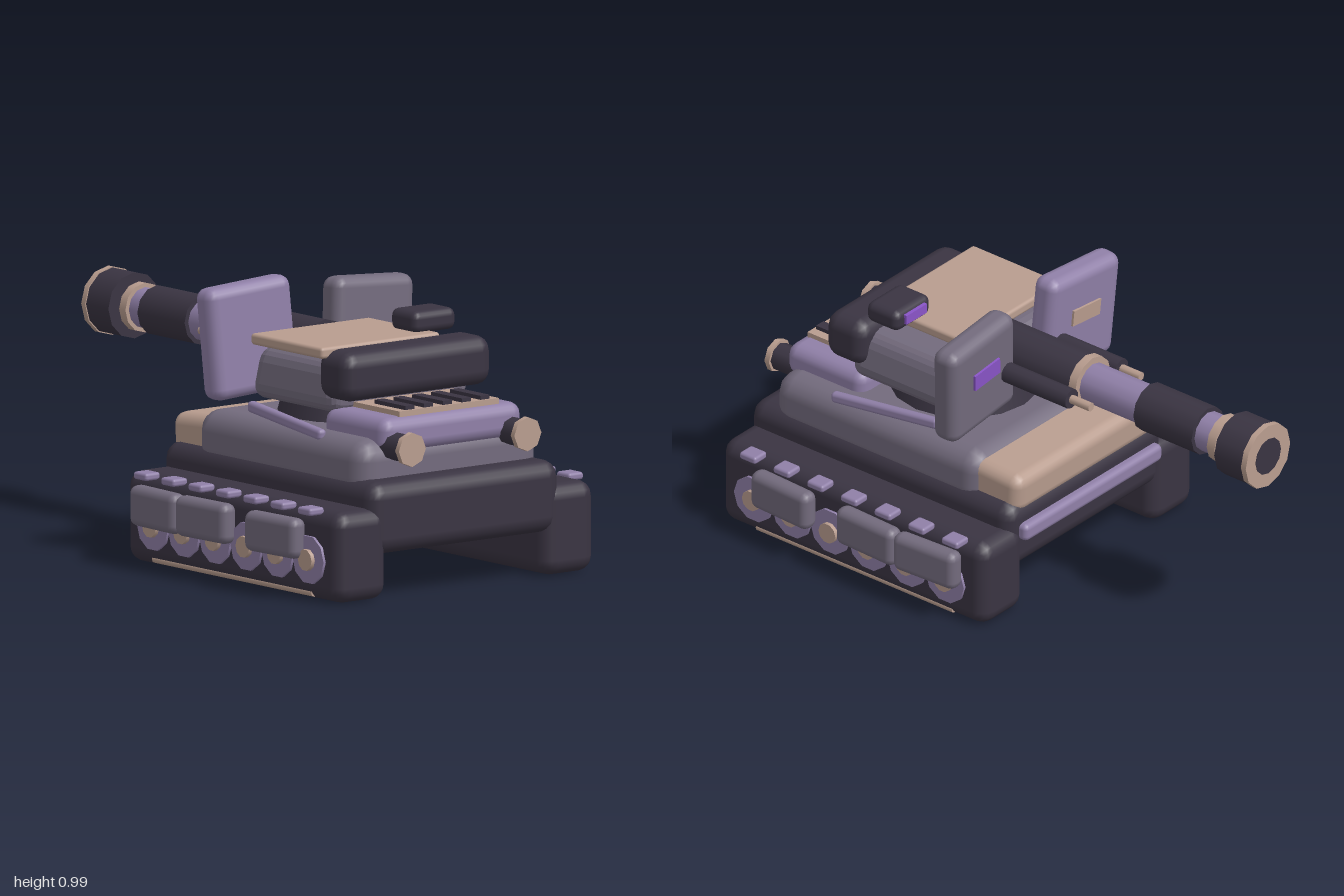
import * as THREE from 'three';
import { RoundedBoxGeometry } from 'three/addons/geometries/RoundedBoxGeometry.js';

const mat = (color) => new THREE.MeshStandardMaterial({ color });

export function createModel() {
  const root = new THREE.Group();
  root.name = 'tank';
  const dark = mat(0x3a3442), purple = mat(0x9080a8), grey = mat(0x736b7d);
  const tan = mat(0xb99d8f), glow = mat(0x8a55c8);

  const add = (name, geo, m, x, y, z, rx = 0, ry = 0, rz = 0) => {
    const mesh = new THREE.Mesh(geo, m);
    mesh.name = name;
    mesh.position.set(x, y, z);
    mesh.rotation.set(rx, ry, rz);
    root.add(mesh);
    return mesh;
  };
  const rbox = (w, h, d, r) => new RoundedBoxGeometry(w, h, d, 2, r);
  const box = (w, h, d) => new THREE.BoxGeometry(w, h, d);
  // cylinder lying along z, between two z values
  const rod = (name, r, z0, z1, m, x, y, sides = 12) => {
    const g = new THREE.CylinderGeometry(r, r, Math.abs(z1 - z0), sides).rotateX(Math.PI / 2);
    return add(name, g, m, x, y, (z0 + z1) / 2);
  };
  // narrows a geometry towards its top
  const taper = (geo, h, kx, kz) => {
    const p = geo.attributes.position;
    for (let i = 0; i < p.count; i++) {
      const t = p.getY(i) / h + 0.5;
      p.setX(i, p.getX(i) * (1 - kx * t));
      p.setZ(i, p.getZ(i) * (1 - kz * t));
    }
    geo.computeVertexNormals();
    return geo;
  };

  // Hull
  add('lowerHull', rbox(0.84, 0.255, 1.18, 0.06), dark, 0, 0.28, 0.4);
  add('upperHull', rbox(0.8, 0.205, 0.93, 0.075), grey, 0, 0.437, 0.435);
  add('glacisPlate', rbox(0.75, 0.15, 0.3, 0.045), tan, 0, 0.437, -0.037, -0.06);
  add('bumper', rbox(0.74, 0.065, 0.05, 0.02), purple, 0, 0.3, -0.197);

  // Engine deck with slatted grille
  add('engineDeck', rbox(0.62, 0.125, 0.35, 0.045), purple, 0, 0.55, 0.74);
  add('grille', box(0.44, 0.02, 0.29), tan, 0, 0.62, 0.74);
  for (let i = -2; i <= 2; i++) add('grilleSlat', box(0.04, 0.022, 0.17), dark, i * 0.083, 0.633, 0.79);

  // Running gear, exhausts and rails on both sides
  for (const s of [1, -1]) {
    add('track', rbox(0.225, 0.32, 1.19, 0.055), dark, s * 0.4575, 0.16, 0.395);
    for (let i = 0; i < 6; i++) {
      const z = 0.83 - i * 0.172;
      const wheel = (name, r, x, w, m) =>
        add(name, new THREE.CylinderGeometry(r, r, w, 10).rotateZ(Math.PI / 2), m, s * x, 0.143, z);
      wheel('roadWheel', 0.086, 0.565, 0.03, purple);
      wheel('wheelHub', 0.038, 0.58, 0.03, tan);
    }
    for (let i = 0; i < 7; i++)
      add('trackTab', rbox(0.066, 0.027, 0.073, 0.01), purple, s * 0.572, 0.315, -0.07 + i * 0.151);
    const skirts = [[0.675, 0.05], [0.292, 0.04], [0.028, -0.05]];
    for (const [z, yaw] of skirts)
      add('sideSkirt', rbox(0.07, 0.143, 0.268, 0.03), grey, s * 0.602, 0.213, z, 0, -s * yaw);
    rod('trackRail', 0.014, -0.05, 0.83, tan, s * 0.552, 0.024, 8);

    rod('exhaustPipe', 0.05, 0.84, 0.985, dark, s * 0.255, 0.515, 8);
    rod('exhaustCap', 0.06, 0.98, 1.0, tan, s * 0.255, 0.515, 8);
    add('deckRail', rbox(0.034, 0.04, 0.45, 0.014), purple, s * 0.35, 0.55, 0.425, 0.09, s * 0.08);
  }

  // Turret
  add('turretRing', new THREE.CylinderGeometry(0.25, 0.27, 0.08, 16), dark, 0, 0.565, 0.36);
  add('turretBody', taper(rbox(0.62, 0.185, 0.49, 0.055), 0.185, 0.1, 0.08), grey, 0, 0.682, 0.395);
  add('turretBustle', rbox(0.655, 0.175, 0.18, 0.055), dark, 0, 0.73, 0.64);
  add('roofPlate', rbox(0.525, 0.04, 0.395, 0.012), tan, -0.083, 0.808, 0.415);
  add('sightHousing', rbox(0.188, 0.078, 0.145, 0.028), dark, 0.193, 0.86, 0.5);
  add('sightLens', box(0.11, 0.035, 0.015), glow, 0.193, 0.865, 0.424);

  // Tilted gun shields, each with a small inset plate
  const shields = [
    ['rightShield', purple, tan, -0.258, 0.787, 0.09, 0.065, 0.395],
    ['leftShield', grey, glow, 0.26, 0.767, 0.105, -0.07, 0.37]
  ];
  for (const [name, m, inset, x, y, z, roll, h] of shields) {
    const shield = add(name, rbox(0.36, h, 0.105, 0.04), m, x, y, z, -0.05, -roll * 0.6, roll);
    const plate = new THREE.Mesh(box(0.14, 0.06, 0.014), inset);
    plate.name = 'shieldInset';
    plate.position.set(0, 0.03, -0.054);
    shield.add(plate);
  }

  // Gun, pointing to -z
  const gy = 0.743;
  rod('mantlet', 0.094, 0.2, -0.19, dark, 0, gy);
  rod('mantletRing', 0.096, -0.18, -0.212, tan, 0, gy);
  rod('barrel', 0.072, -0.2, -0.842, purple, 0, gy);
  rod('barrelSleeve', 0.088, -0.467, -0.728, dark, 0, gy);
  rod('barrelRing', 0.087, -0.795, -0.83, tan, 0, gy);
  rod('muzzleBrake', 0.116, -0.853, -0.985, dark, 0, gy);
  rod('muzzleRing', 0.12, -0.976, -0.998, tan, 0, gy);
  rod('bore', 0.068, -0.98, -1.0, dark, 0, gy);
  for (const s of [1, -1]) {
    rod('recoilCylinder', 0.036, 0.1, -0.23, dark, s * 0.135, gy, 10);
    rod('recoilRod', 0.016, -0.2, -0.317, tan, s * 0.135, gy, 8);
  }
  return root;
}
